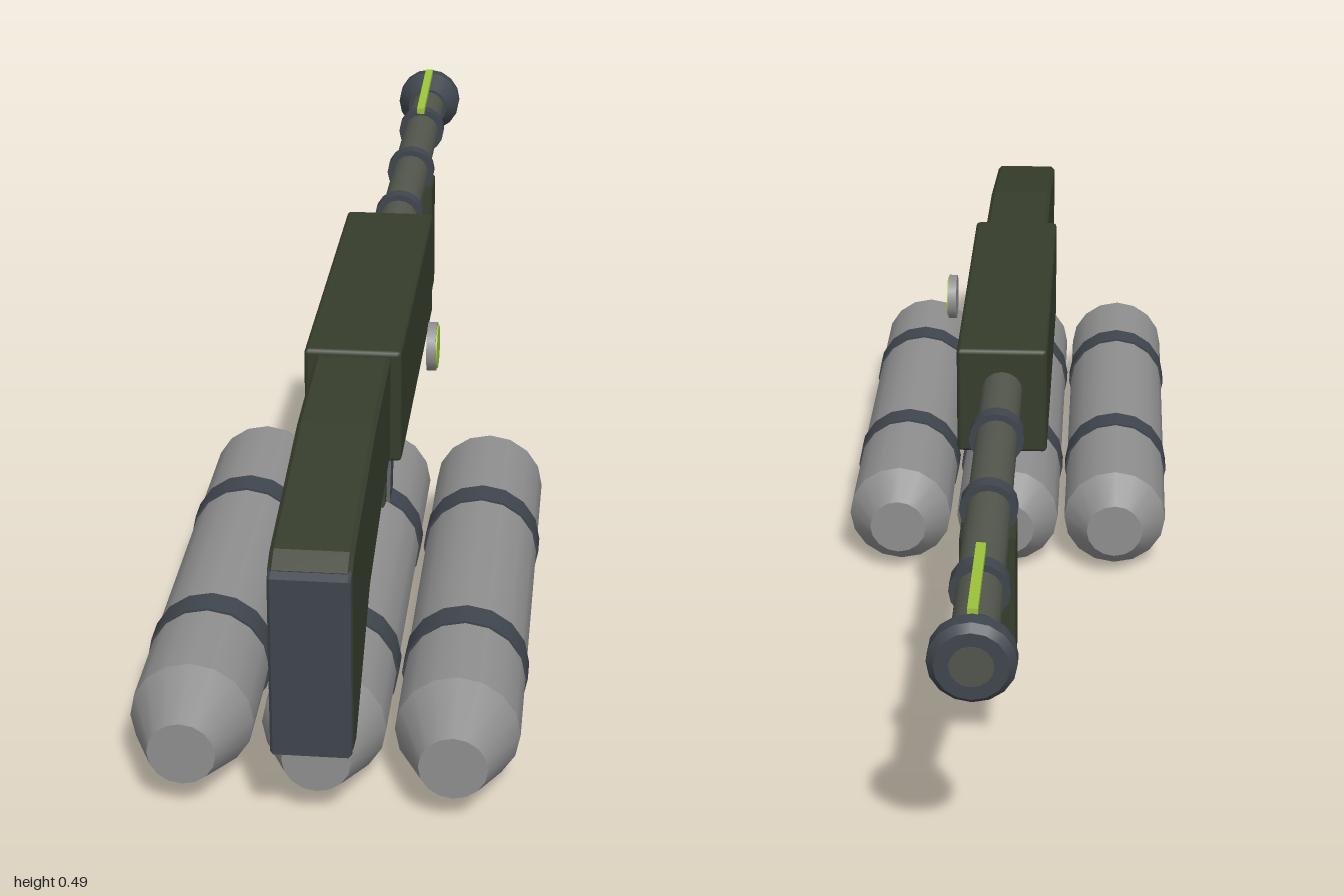
import * as THREE from 'three';
import { RoundedBoxGeometry } from 'three/addons/geometries/RoundedBoxGeometry.js';

const paint = (name, color) => {
  const m = new THREE.MeshStandardMaterial({ color });
  m.name = name;
  return m;
};

export function createModel() {
  const root = new THREE.Group();
  root.name = 'launcher';
  const green = paint('olive green', 0x363d2c);
  const slate = paint('slate', 0x40464e);
  const grey = paint('bottle grey', 0x8f8f8f);
  const steel = paint('barrel steel', 0x52564c);
  const lime = paint('lime', 0x9cc43c);

  const add = (name, geo, mat, parent = root) => {
    const m = new THREE.Mesh(geo, mat);
    m.name = name;
    parent.add(m);
    return m;
  };
  // Round section along z, from z0 (radius r0) to z1 > z0 (radius r1)
  const round = (name, z0, r0, z1, r1, mat, x, y, parent = root, sides = 16, open = false) => {
    const g = new THREE.CylinderGeometry(r1, r0, z1 - z0, sides, 1, open);
    g.rotateX(Math.PI / 2);
    const m = add(name, g, mat, parent);
    m.position.set(x, y, (z0 + z1) / 2);
    return m;
  };
  // Side outline in (z, y), extruded across x with a small bevel
  const slab = (name, pts, half, mat, bevel = 0.006, x = 0) => {
    const shape = new THREE.Shape(pts.map(p => new THREE.Vector2(...p)));
    const depth = 2 * (half - bevel);
    const g = new THREE.ExtrudeGeometry(shape, {
      depth, bevelEnabled: bevel > 0, bevelSize: bevel, bevelThickness: bevel,
      bevelOffset: -bevel, bevelSegments: 1,
    });
    g.translate(0, 0, -depth / 2);
    g.rotateY(-Math.PI / 2);
    const m = add(name, g, mat);
    m.position.x = x;
    return m;
  };
  const box = (name, w, h, d, x, y, z, mat) => {
    const m = add(name, new THREE.BoxGeometry(w, h, d), mat);
    m.position.set(x, y, z);
    return m;
  };

  // Receiver and stock
  add('receiver', new RoundedBoxGeometry(0.146, 0.18, 0.595, 1, 0.007), green)
    .position.set(0, 0.404, 0.165);
  slab('stock', [
    [0.44, 0.322], [0.47, 0.322], [0.6, 0.302], [0.76, 0.265], [0.945, 0.13], [0.988, 0.135],
    [0.988, 0.411], [0.96, 0.428], [0.67, 0.476], [0.47, 0.486], [0.44, 0.486],
  ], 0.056, green);
  slab('buttPad', [[0.98, 0.13], [1, 0.137], [1, 0.404], [0.98, 0.414]], 0.055, slate, 0.004);

  // Round gauge beside the receiver
  const gauge = new THREE.Group();
  gauge.name = 'gauge';
  gauge.position.set(0.097, 0.423, 0.27);
  root.add(gauge);
  for (const [name, r, w, x, mat] of [
    ['gaugeRim', 0.038, 0.014, 0.007, grey], ['gaugeFace', 0.034, 0.003, 0.0148, lime],
  ]) {
    const g = new THREE.CylinderGeometry(r, r, w, 20);
    g.rotateZ(-Math.PI / 2);
    add(name, g, mat, gauge).position.x = x;
  }

  // Barrel, clamps and flared muzzle
  const by = 0.424;
  round('barrel', -0.96, 0.033, -0.12, 0.033, steel, 0, by);
  for (const z of [-0.303, -0.545, -0.787]) {
    round('barrelClamp', z - 0.013, 0.043, z + 0.013, 0.043, slate, 0, by);
  }
  round('muzzleCone', -0.965, 0.06, -0.925, 0.038, slate, 0, by);
  round('muzzleFlange', -0.988, 0.06, -0.965, 0.06, slate, 0, by);
  round('muzzleLip', -0.999, 0.05, -0.988, 0.06, slate, 0, by);
  round('bore', -1, 0.03, -0.995, 0.03, steel, 0, by);

  // Sight strip rising toward the muzzle
  slab('sightStrip', [[-0.965, 0.48], [-0.755, 0.466], [-0.755, 0.477], [-0.965, 0.491]], 0.007, lime, 0);

  // Fore grip
  slab('foreGrip', [[-0.603, 0.18], [-0.508, 0.18], [-0.52, 0.4], [-0.597, 0.4]], 0.041, green, 0.004);

  // Bent feed pipe: straight runs with a ball at the elbow
  const bends = [[0.22, 0.277], [-0.31, 0.182], [-0.95, 0.4]].map(p => new THREE.Vector3(0, p[1], p[0]));
  for (let i = 0; i < 2; i++) {
    add('feedPipe', new THREE.TubeGeometry(new THREE.LineCurve3(bends[i], bends[i + 1]), 1, 0.017, 10), slate);
  }
  for (let i = 0; i < 2; i++) {
    add('pipeJoint', new THREE.SphereGeometry(0.017, 10, 8), slate).position.copy(bends[i]);
  }

  // Rear grip with side plates, reaching down to the middle bottle
  slab('rearGrip', [[0.225, 0.32], [0.295, 0.32], [0.342, 0.172], [0.27, 0.172]], 0.036, green, 0.004);
  for (const s of [-1, 1]) {
    slab('gripPlate', [[0.225, 0.32], [0.265, 0.32], [0.318, 0.172], [0.27, 0.172]], 0.004, slate, 0, s * 0.038);
  }

  // Trigger and its guard
  box('triggerGuard', 0.03, 0.006, 0.15, 0, 0.235, 0.147, green);
  box('triggerGuard', 0.03, 0.08, 0.006, 0, 0.276, 0.077, green);
  slab('trigger', [[0.132, 0.32], [0.146, 0.32], [0.126, 0.265], [0.118, 0.268]], 0.008, slate, 0);

  // Three gas bottles with straps
  for (const x of [-0.1875, 0, 0.1875]) {
    const bottle = new THREE.Group();
    bottle.name = 'gasBottle';
    bottle.position.set(x, 0.0915, 0);
    root.add(bottle);
    round('bottleBody', 0.075, 0.088, 0.85, 0.088, grey, 0, 0, bottle, 16, true);
    round('bottleNose', 0.85, 0.088, 0.943, 0.048, grey, 0, 0, bottle);
    round('bottleTail', 0.022, 0.048, 0.075, 0.088, grey, 0, 0, bottle);
    for (const z of [0.29, 0.677]) {
      round('bottleStrap', z - 0.023, 0.0915, z + 0.023, 0.0915, slate, 0, 0, bottle);
    }
  }
  return root;
}
